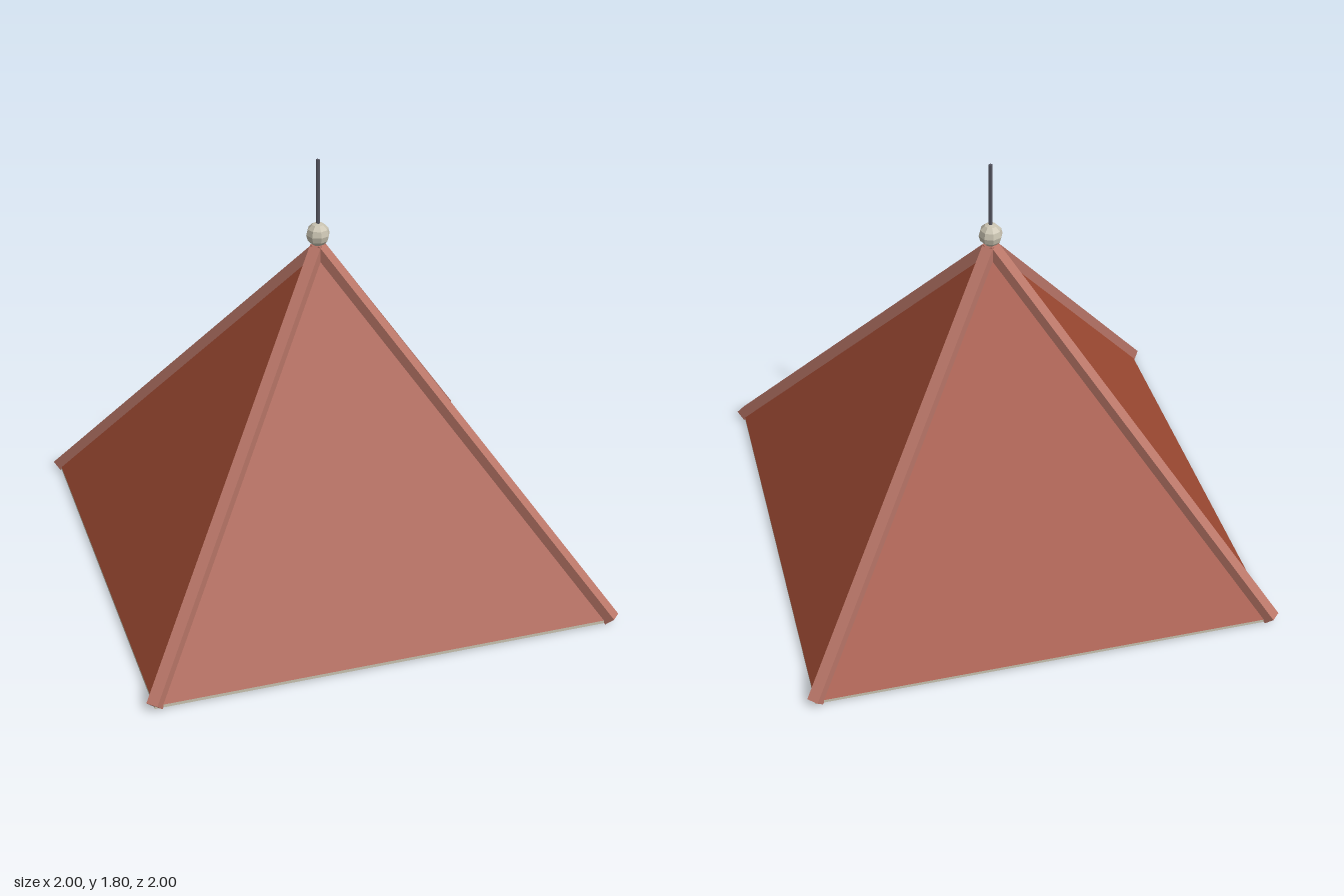
import * as THREE from 'three';

const flat = (name, color, extra = {}) => {
  const m = new THREE.MeshStandardMaterial({ color, flatShading: true, ...extra });
  m.name = name;
  return m;
};

export function createModel() {
  const terracotta = flat('terracotta', 0x9f4a33);
  const ridgeClay = flat('ridge clay', 0xb87567);
  const stone = flat('pale stone', 0xc8c2b0);
  const iron = flat('dark iron', 0x55555f);

  const model = new THREE.Group();
  model.name = 'pyramidRoof';
  const add = (name, geometry, material, y = 0) => {
    const mesh = new THREE.Mesh(geometry, material);
    mesh.name = name;
    mesh.position.y = y;
    model.add(mesh);
    return mesh;
  };

  const half = 0.968, eaves = 0.018, apex = 1.415;

  // Four-sided roof
  const height = apex - eaves;
  const roof = new THREE.ConeGeometry(half * Math.SQRT2, height, 4, 1, true);
  roof.rotateY(Math.PI / 4);
  add('roof', roof, terracotta, eaves + height / 2);

  // Thin slab closing the underside
  add('soffit', new THREE.BoxGeometry(half * 2, 0.013, half * 2), stone, eaves - 0.0065);

  // Square ridge bars along the four hips
  const top = new THREE.Vector3(0, apex, 0);
  for (const sx of [-1, 1]) {
    for (const sz of [-1, 1]) {
      const corner = new THREE.Vector3(sx * half, eaves, sz * half);
      const bar = add('ridgeBar', new THREE.BoxGeometry(0.05, 0.05, corner.distanceTo(top)), ridgeClay);
      bar.position.copy(corner).lerp(top, 0.5);
      bar.lookAt(top);
    }
  }

  // Ball finial and rod
  add('finialBall', new THREE.SphereGeometry(0.05, 8, 6), stone, 1.475);
  add('finialRod', new THREE.CylinderGeometry(0.008, 0.008, 0.32, 6), iron, 1.64);

  return model;
}
